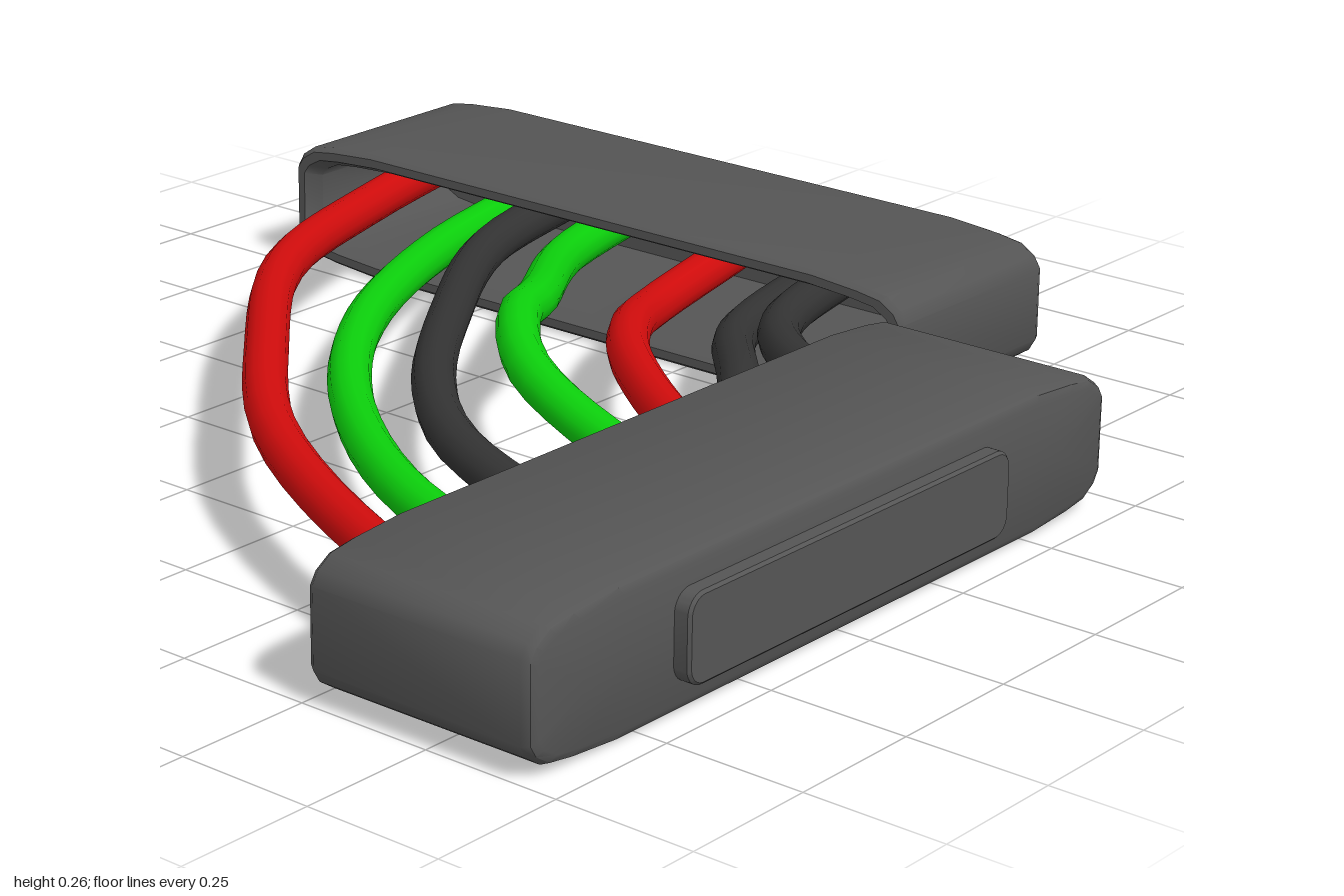
import * as THREE from 'three';
import { toCreasedNormals } from 'three/addons/utils/BufferGeometryUtils.js';

const mat = (color) => new THREE.MeshStandardMaterial({ color });
const HW = 0.735, HH = 0.126;

// Rounded outline of a housing, counterclockwise around its centre
function outline() {
  const q = [[HW, 0.068], [0.722, 0.09], [0.692, 0.11], [0.64, 0.118], [0.54, HH]];
  const mirror = (sx, sy) => q.map(([x, y]) => [x * sx, y * sy]);
  return [...mirror(1, 1), ...mirror(-1, 1).reverse(), ...mirror(-1, -1), ...mirror(1, -1).reverse()];
}

// Hollow shell: rings of the outline, each given as [inset, z], outside then inside
function shellGeometry() {
  const profile = outline(), n = profile.length;
  const rings = [
    [HH, -0.44], [0.018, -0.44], [0.006, -0.434], [0, -0.42],
    [0, -0.012], [0.008, 0], [0.024, 0], [0.04, -0.035], [0.04, -0.39], [HH, -0.39],
  ];
  const point = (i, j) => {
    const [d, z] = rings[i], [x, y] = profile[j % n];
    return [x * (HW - d) / HW, y * (HH - d) / HH, z];
  };
  const pos = [];
  for (let i = 0; i < rings.length - 1; i++) {
    for (let j = 0; j < n; j++) {
      const a = point(i, j), b = point(i, j + 1), c = point(i + 1, j + 1), d = point(i + 1, j);
      pos.push(...a, ...b, ...c, ...a, ...c, ...d);
    }
  }
  const g = new THREE.BufferGeometry();
  g.setAttribute('position', new THREE.Float32BufferAttribute(pos, 3));
  return toCreasedNormals(g, 0.7);
}

// Raised plate with rounded corners on the closed side
function plateGeometry() {
  const w = 0.412, h = 0.076, r = 0.035, s = new THREE.Shape();
  s.absarc(w - r, h - r, r, 0, Math.PI / 2);
  s.absarc(r - w, h - r, r, Math.PI / 2, Math.PI);
  s.absarc(r - w, r - h, r, Math.PI, Math.PI * 1.5);
  s.absarc(w - r, r - h, r, Math.PI * 1.5, Math.PI * 2);
  const g = new THREE.ExtrudeGeometry(s, {
    depth: 0.03, curveSegments: 5, bevelThickness: 0.005, bevelSize: 0.005, bevelOffset: -0.005, bevelSegments: 1,
  });
  return toCreasedNormals(g.translate(0, 0, -0.465), 0.5);
}

function housing(name) {
  const g = new THREE.Group();
  g.name = name;
  const material = mat(0x555555);
  const shell = new THREE.Mesh(shellGeometry(), material);
  shell.name = 'shell';
  const plate = new THREE.Mesh(plateGeometry(), material);
  plate.name = 'plate';
  g.add(shell, plate);
  return g;
}

// Cable through [x, z] points between the housing mouths; its height follows
// a parabola through start, middle and end, and both ends run on into the housings
function cableGeometry([y0, yMid, y1], path) {
  const height = (t) => y0 + (y1 - y0) * t + 4 * (yMid - (y0 + y1) / 2) * t * (1 - t);
  const pts = path.map(([x, z], i) => new THREE.Vector3(x, height(i / (path.length - 1)), z));
  const first = pts[0].clone().add(new THREE.Vector3(-0.09, 0, -0.36));
  const last = pts[pts.length - 1].clone().add(new THREE.Vector3(0.36, 0, 0.08));
  const curve = new THREE.CatmullRomCurve3([first, ...pts, last], false, 'centripetal');
  return new THREE.TubeGeometry(curve, 28, 0.039, 12);
}

export function createModel() {
  const model = new THREE.Group();
  model.name = 'cableConnector';

  // Two housings at a right angle, open sides facing the cables
  const back = housing('backHousing');
  back.position.set(-0.246, HH, -0.53);
  const side = housing('sideHousing');
  side.position.set(0.51, HH, 0.262);
  side.rotation.y = -Math.PI / 2;
  model.add(back, side);

  // Cables: colour, heights, path from the back to the side housing
  const RED = 0xd00c0c, GREEN = 0x0cd00c, BLACK = 0x333333;
  const cables = [
    [RED, [0.155, 0.185, 0.16], [[-0.78, -0.53], [-0.6, -0.11], [-0.3, 0.25], [0.03, 0.56], [0.51, 0.79]]],
    [GREEN, [0.095, 0.125, 0.12], [[-0.61, -0.53], [-0.4, -0.11], [-0.13, 0.22], [0.2, 0.47], [0.51, 0.59]]],
    [BLACK, [0.135, 0.15, 0.12], [[-0.47, -0.53], [-0.24, -0.16], [0, 0.15], [0.2, 0.31], [0.51, 0.41]]],
    [GREEN, [0.16, 0.22, 0.155], [[-0.28, -0.53], [-0.07, -0.2], [0, -0.07], [0.18, 0.1], [0.51, 0.21]]],
    [RED, [0.105, 0.14, 0.135], [[-0.07, -0.53], [0.03, -0.34], [0.18, -0.17], [0.51, 0.045]]],
    [BLACK, [0.1, 0.12, 0.12], [[0.13, -0.53], [0.3, -0.31], [0.51, -0.1]]],
    [BLACK, [0.145, 0.15, 0.15], [[0.23, -0.53], [0.33, -0.4], [0.51, -0.3]]],
  ];
  cables.forEach(([color, heights, path], i) => {
    const cable = new THREE.Mesh(cableGeometry(heights, path), mat(color));
    cable.name = 'cable' + (i + 1);
    model.add(cable);
  });
  return model;
}
